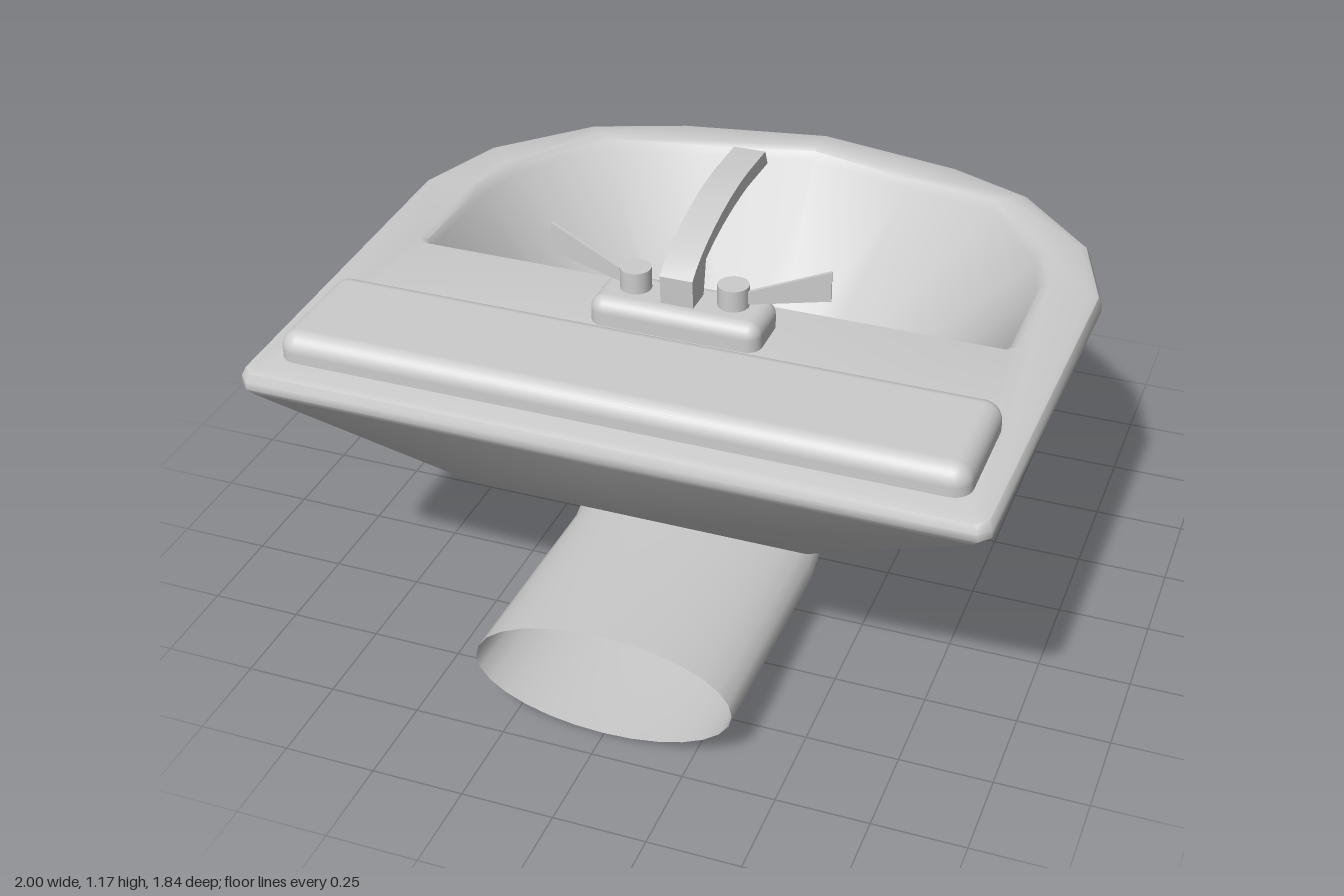
import * as THREE from 'three';
import { toCreasedNormals } from 'three/addons/utils/BufferGeometryUtils.js';
import { RoundedBoxGeometry } from 'three/addons/geometries/RoundedBoxGeometry.js';

const grey = new THREE.MeshStandardMaterial({ color: 0xcccccc });
const greyDouble = new THREE.MeshStandardMaterial({ color: 0xcccccc, side: THREE.DoubleSide });

function part(name, geometry, material = grey) {
  const mesh = new THREE.Mesh(geometry, material);
  mesh.name = name;
  return mesh;
}

// Half outlines [x, z], running from the middle of the back to the tip of the front
const RIM = [[0, 0.92], [0.95, 0.92], [0.978, 0.89], [1, -0.2], [0.91, -0.46], [0.68, -0.7], [0.43, -0.84], [0, -0.92]];
const FOOT = [[0, 0.06], [0.35, 0.06], [0.37, 0.04], [0.37, -0.13], [0.33, -0.27], [0.26, -0.36], [0.15, -0.41], [0, -0.44]];
const BOWL = [[0, 0.15], [0.8, 0.15], [0.82, 0.12], [0.82, -0.2], [0.78, -0.37], [0.6, -0.62], [0.32, -0.71], [0, -0.79]];
const FLOOR = [[0, -0.02], [0.29, -0.02], [0.3, -0.03], [0.3, -0.14], [0.27, -0.22], [0.22, -0.29], [0.12, -0.345], [0, -0.39]];

const scaled = (half, s) => half.map(([x, z]) => [x * s, z * s]);
const mixed = (a, b, t) => a.map(([x, z], i) => [x + (b[i][0] - x) * t, z + (b[i][1] - z) * t]);

// Full ring of points at height y; the front of the rim dips slightly
function ring(half, y) {
  const mirrored = half.slice(1, -1).reverse().map(([x, z]) => [-x, z]);
  return [...half, ...mirrored].map(([x, z]) =>
    new THREE.Vector3(x, y > 0.8 && z < -0.7 ? y - 0.02 : y, z));
}

// Skin through rings of equal length, closed by a flat fan at both ends
function loft(rings, crease) {
  const n = rings[0].length;
  const out = [];
  const tri = (...points) => points.forEach((p) => out.push(p.x, p.y, p.z));
  const centre = (r) => r.reduce((sum, p) => sum.add(p), new THREE.Vector3()).divideScalar(n);
  const first = rings[0], last = rings[rings.length - 1];
  const start = centre(first), end = centre(last);
  for (let i = 0; i < n; i++) {
    const j = (i + 1) % n;
    tri(start, first[j], first[i]);
    for (let k = 0; k < rings.length - 1; k++) {
      const a = rings[k], b = rings[k + 1];
      tri(a[i], a[j], b[j]);
      tri(a[i], b[j], b[i]);
    }
    tri(last[i], last[j], end);
  }
  const geometry = new THREE.BufferGeometry();
  geometry.setAttribute('position', new THREE.Float32BufferAttribute(out, 3));
  return toCreasedNormals(geometry, crease);
}

function makeBasin() {
  // The back kinks outwards at mid height, the other sides run straight down
  const middle = mixed(RIM, FOOT, 0.55);
  middle[0] = [0, 0.66];
  middle[1] = [0.46, 0.66];
  middle[2] = [0.485, 0.63];
  return loft([
    ring(scaled(FOOT, 0.97), 0.26),
    ring(FOOT, 0.27),
    ring(middle, 0.53),
    ring(scaled(RIM, 0.985), 0.85),
    ring(RIM, 0.87),
    ring(RIM, 0.89),
    ring(scaled(RIM, 0.99), 0.912),
    ring(scaled(RIM, 0.97), 0.92),
    ring(scaled(BOWL, 1.04), 0.92),
    ring(scaled(BOWL, 1.015), 0.912),
    ring(BOWL, 0.89),
    ring(mixed(BOWL, FLOOR, 0.96), 0.32),
    ring(FLOOR, 0.3),
  ], 0.75);
}

// Flat oval pipe; each section is given by its top and bottom points [z, y]
function makePipe() {
  const sections = [
    [[0.92, 0.335], [0.92, 0.015]],
    [[0.32, 0.305], [0.2, 0.01]],
    [[0.27, 0.32], [0.05, 0.085]],
    [[0.22, 0.34], [-0.07, 0.165]],
    [[0.16, 0.36], [-0.17, 0.265]],
  ];
  const sides = 28;
  const points = [], index = [];
  sections.forEach(([top, bottom], k) => {
    for (let i = 0; i < sides; i++) {
      const a = (i / sides) * Math.PI * 2;
      const t = (1 - Math.cos(a)) / 2;
      points.push(0.355 * Math.sin(a),
        top[1] + (bottom[1] - top[1]) * t,
        top[0] + (bottom[0] - top[0]) * t);
      if (k === 0) continue;
      const j = (i + 1) % sides, p = (k - 1) * sides, q = k * sides;
      index.push(p + i, p + j, q + i, p + j, q + j, q + i);
    }
  });
  // Reverse the corners so that the outside is the front face
  for (let i = 0; i < index.length; i += 3) [index[i + 1], index[i + 2]] = [index[i + 2], index[i + 1]];
  const geometry = new THREE.BufferGeometry();
  geometry.setAttribute('position', new THREE.Float32BufferAttribute(points, 3));
  geometry.setIndex(index);
  geometry.computeVertexNormals();
  return geometry;
}

// Side profile [z, y], extruded across x
function makeSpout() {
  const width = 0.09;
  const shape = new THREE.Shape();
  shape.moveTo(0.355, 0.97);
  shape.lineTo(0.36, 1.075);
  shape.bezierCurveTo(0.3, 1.13, 0.12, 1.185, -0.06, 1.185);
  shape.lineTo(-0.205, 1.18);
  shape.lineTo(-0.225, 1.135);
  shape.lineTo(-0.06, 1.143);
  shape.bezierCurveTo(0.08, 1.14, 0.2, 1.115, 0.26, 1.09);
  shape.lineTo(0.285, 0.97);
  const geometry = new THREE.ExtrudeGeometry(shape, { depth: width, bevelEnabled: false, curveSegments: 8 });
  geometry.rotateY(-Math.PI / 2).translate(width / 2, 0, 0);
  return toCreasedNormals(geometry, 0.6);
}

// Thin blade that widens and rises away from the knob
function makeLever() {
  const shape = new THREE.Shape([[0, 1.005], [0.215, 1.035], [0.215, 1.12], [0, 1.042]]
    .map(([x, y]) => new THREE.Vector2(x, y)));
  return new THREE.ExtrudeGeometry(shape, { depth: 0.01, bevelEnabled: false }).translate(0, 0, -0.005);
}

export function createModel() {
  const model = new THREE.Group();
  model.name = 'washbasin';
  model.add(part('basin', makeBasin()));
  model.add(part('drainPipe', makePipe(), greyDouble));

  // Raised ledge along the back
  const ledge = part('backLedge', new RoundedBoxGeometry(1.81, 0.14, 0.355, 4, 0.05));
  ledge.position.set(0, 0.925, 0.66);
  model.add(ledge);

  const tap = new THREE.Group();
  tap.name = 'tap';
  const base = part('tapBase', new RoundedBoxGeometry(0.47, 0.13, 0.18, 4, 0.04));
  base.position.set(0, 0.93, 0.31);
  tap.add(base, part('spout', makeSpout()));

  // A knob with a lever on each side
  for (const side of [1, -1]) {
    const label = side > 0 ? 'left' : 'right';
    const knob = part(label + 'Knob', new THREE.CylinderGeometry(0.042, 0.042, 0.09, 20));
    knob.position.set(side * 0.135, 1.01, 0.3);
    const lever = part(label + 'Lever', makeLever());
    lever.position.set(side * 0.175, 0, 0.3);
    lever.rotation.y = side > 0 ? 0.18 : Math.PI - 0.18;
    tap.add(knob, lever);
  }
  model.add(tap);
  return model;
}
